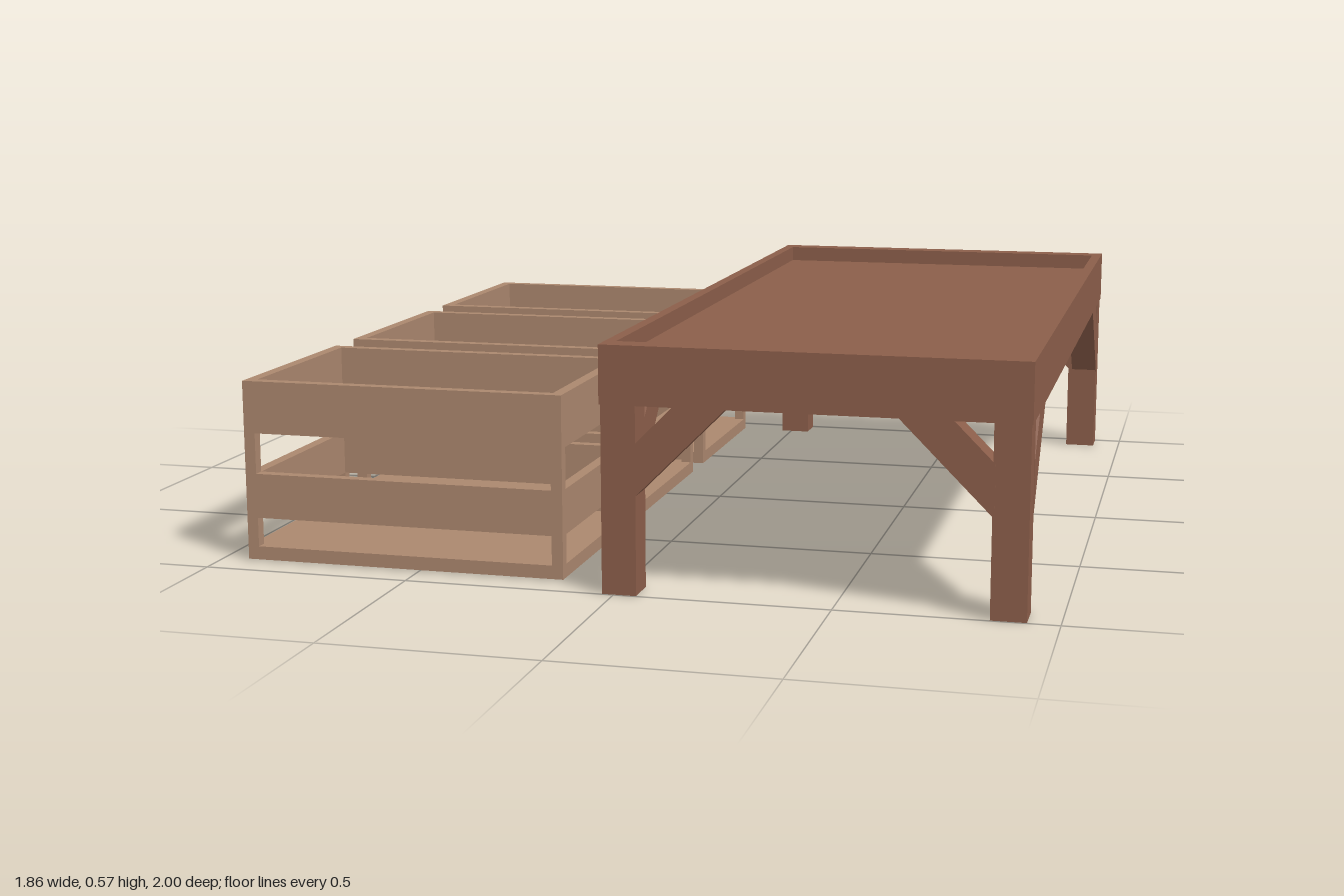
import * as THREE from 'three';

const darkWood = new THREE.MeshStandardMaterial({ color: 0x8b5e4a });
darkWood.name = 'darkWood';
const paleWood = new THREE.MeshStandardMaterial({ color: 0xab876e });
paleWood.name = 'paleWood';

// Box given by its minimum and maximum corners
function box(name, material, [x0, y0, z0], [x1, y1, z1]) {
  const mesh = new THREE.Mesh(new THREE.BoxGeometry(x1 - x0, y1 - y0, z1 - z0), material);
  mesh.position.set((x0 + x1) / 2, (y0 + y1) / 2, (z0 + z1) / 2);
  mesh.name = name;
  return mesh;
}

// Diagonal brace: starts at a leg face (x = 0) and runs up and out along +x
function braceGeometry(top, thickness) {
  const shape = new THREE.Shape([
    new THREE.Vector2(-0.005, top - 0.21),
    new THREE.Vector2(0.205, top),
    new THREE.Vector2(0.085, top),
    new THREE.Vector2(-0.005, top - 0.09),
  ]);
  const geometry = new THREE.ExtrudeGeometry(shape, { depth: thickness, bevelEnabled: false });
  return geometry.translate(0, 0, -thickness / 2);
}

function createTable() {
  const table = new THREE.Group();
  table.name = 'table';
  const hx = 0.48, hz = 1, under = 0.435, top = 0.57, rimX = 0.026, rimZ = 0.055;
  const leg = 0.08, inset = 0.003;

  // Table top with a raised rim
  table.add(box('tableTop', darkWood, [-hx + rimX, under, -hz + rimZ], [hx - rimX, top - 0.04, hz - rimZ]));
  for (const s of [-1, 1]) {
    const sideX = s * (hx - rimX / 2), endZ = s * (hz - rimZ / 2);
    table.add(box('sideRail', darkWood, [sideX - rimX / 2, under, -hz], [sideX + rimX / 2, top, hz]));
    table.add(box('endRail', darkWood, [-hx + rimX, under, endZ - rimZ / 2], [hx - rimX, top, endZ + rimZ / 2]));
  }

  // Four legs, each with two braces
  const brace = braceGeometry(under, 0.07);
  for (const sx of [-1, 1]) for (const sz of [-1, 1]) {
    const cx = sx * (hx - inset - leg / 2), cz = sz * (hz - inset - leg / 2);
    table.add(box('leg', darkWood, [cx - leg / 2, 0, cz - leg / 2], [cx + leg / 2, under, cz + leg / 2]));
    const across = new THREE.Mesh(brace, darkWood);
    across.name = 'crossBrace';
    across.position.set(cx - sx * leg / 2, 0, sz * (hz - 0.037));
    across.rotation.y = sx > 0 ? Math.PI : 0;
    const along = new THREE.Mesh(brace, darkWood);
    along.name = 'lengthBrace';
    along.position.set(sx * (hx - 0.037), 0, cz - sz * leg / 2);
    along.rotation.y = sz * Math.PI / 2;
    table.add(across, along);
  }
  return table;
}

function createCrate() {
  const crate = new THREE.Group();
  crate.name = 'crate';
  const hx = 0.394, hz = 0.268, t = 0.027, height = 0.435;

  crate.add(box('crateFloor', paleWood, [-hx, 0.003, -hz], [hx, 0.035, hz]));
  // Corner posts
  for (const sx of [-1, 1]) for (const sz of [-1, 1]) {
    const cx = sx * (hx - t / 2), cz = sz * (hz - t / 2);
    crate.add(box('cornerPost', paleWood, [cx - t / 2, 0.035, cz - t / 2], [cx + t / 2, height, cz + t / 2]));
  }
  // Two rows of slats on every side
  for (const [y0, y1] of [[0.105, 0.212], [0.31, height]]) for (const s of [-1, 1]) {
    const cz = s * (hz - t / 2), cx = s * (hx - t / 2);
    crate.add(box('longSlat', paleWood, [-hx + t, y0, cz - t / 2], [hx - t, y1, cz + t / 2]));
    crate.add(box('shortSlat', paleWood, [cx - t / 2, y0, -hz + t], [cx + t / 2, y1, hz - t]));
  }
  return crate;
}

export function createModel() {
  const model = new THREE.Group();
  model.name = 'tableWithCrates';

  const table = createTable();
  table.position.x = 0.45;
  model.add(table);

  for (const z of [-0.648, 0, 0.648]) {
    const crate = createCrate();
    crate.position.set(-0.539, 0, z);
    model.add(crate);
  }
  return model;
}
